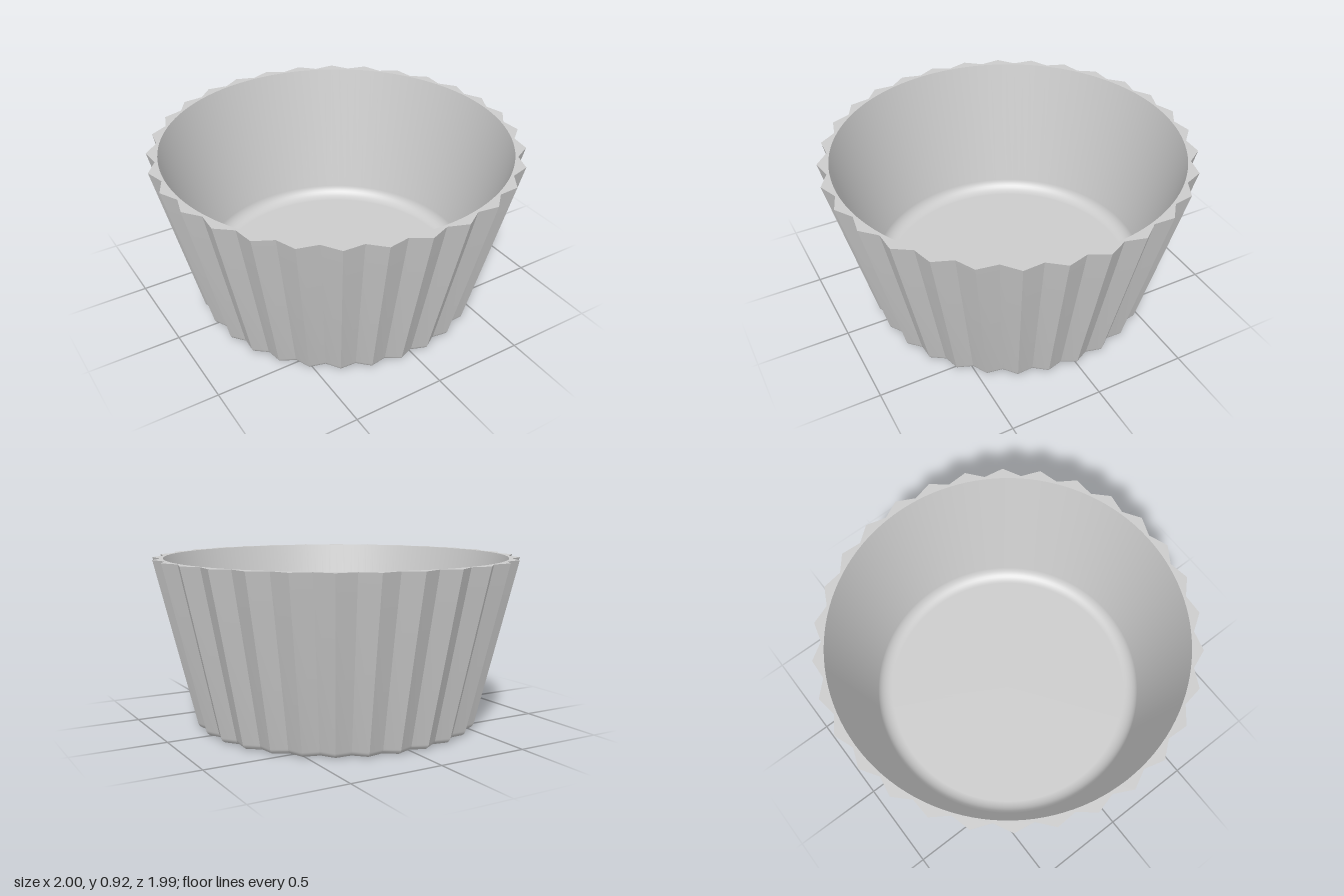
import * as THREE from 'three';
import { toCreasedNormals } from 'three/addons/utils/BufferGeometryUtils.js';

const FLUTES = 30;
const HEIGHT = 0.92;
const VALLEY = 0.955; // valley radius relative to ridge radius
const INNER_RIM = 0.94;

const material = new THREE.MeshStandardMaterial({ color: 0xcccccc });

function addMesh(group, name, geometry) {
  const mesh = new THREE.Mesh(geometry, material);
  mesh.name = name;
  group.add(mesh);
  return mesh;
}

// Arc points around (cx, cy), angles in degrees
function arc(cx, cy, r, from, to, steps) {
  return Array.from({ length: steps + 1 }, (_, i) => {
    const a = THREE.MathUtils.degToRad(from + ((to - from) * i) / steps);
    return new THREE.Vector2(cx + r * Math.cos(a), cy + r * Math.sin(a));
  });
}

// Pleated outer wall with rounded bottom edge: a lathe with every other column pulled in
function fluteGeometry() {
  const profile = [
    new THREE.Vector2(0, 0),
    ...arc(0.748, 0.04, 0.04, -90, -13, 7),
    new THREE.Vector2(1, HEIGHT),
  ];
  const geometry = new THREE.LatheGeometry(profile, FLUTES * 2);
  const pos = geometry.attributes.position;
  for (let i = 0; i < pos.count; i++) {
    const column = Math.floor(i / profile.length);
    if (column % 2 === 0) pos.setXYZ(i, pos.getX(i) * VALLEY, pos.getY(i), pos.getZ(i) * VALLEY);
  }
  return toCreasedNormals(geometry, THREE.MathUtils.degToRad(22));
}

// Smooth round inside with a filleted floor
function bowlGeometry() {
  const profile = [
    new THREE.Vector2(INNER_RIM, HEIGHT),
    ...arc(0.691, 0.19, 0.08, -13, -90, 8),
    new THREE.Vector2(0, 0.11),
  ];
  return new THREE.LatheGeometry(profile, 120);
}

// Flat rim between the zigzag outline and the round opening
function rimGeometry() {
  const outline = Array.from({ length: FLUTES * 2 }, (_, i) => {
    const a = (i * Math.PI) / FLUTES;
    const r = i % 2 ? VALLEY : 1;
    return new THREE.Vector2(r * Math.cos(a), r * Math.sin(a));
  });
  const shape = new THREE.Shape(outline);
  shape.holes.push(new THREE.Path(arc(0, 0, INNER_RIM, 0, 357, 119)));
  return new THREE.ShapeGeometry(shape).rotateX(-Math.PI / 2).translate(0, HEIGHT, 0);
}

export function createModel() {
  const group = new THREE.Group();
  group.name = 'flutedCup';
  addMesh(group, 'flutedWall', fluteGeometry());
  addMesh(group, 'innerBowl', bowlGeometry());
  addMesh(group, 'rim', rimGeometry());
  return group;
}
